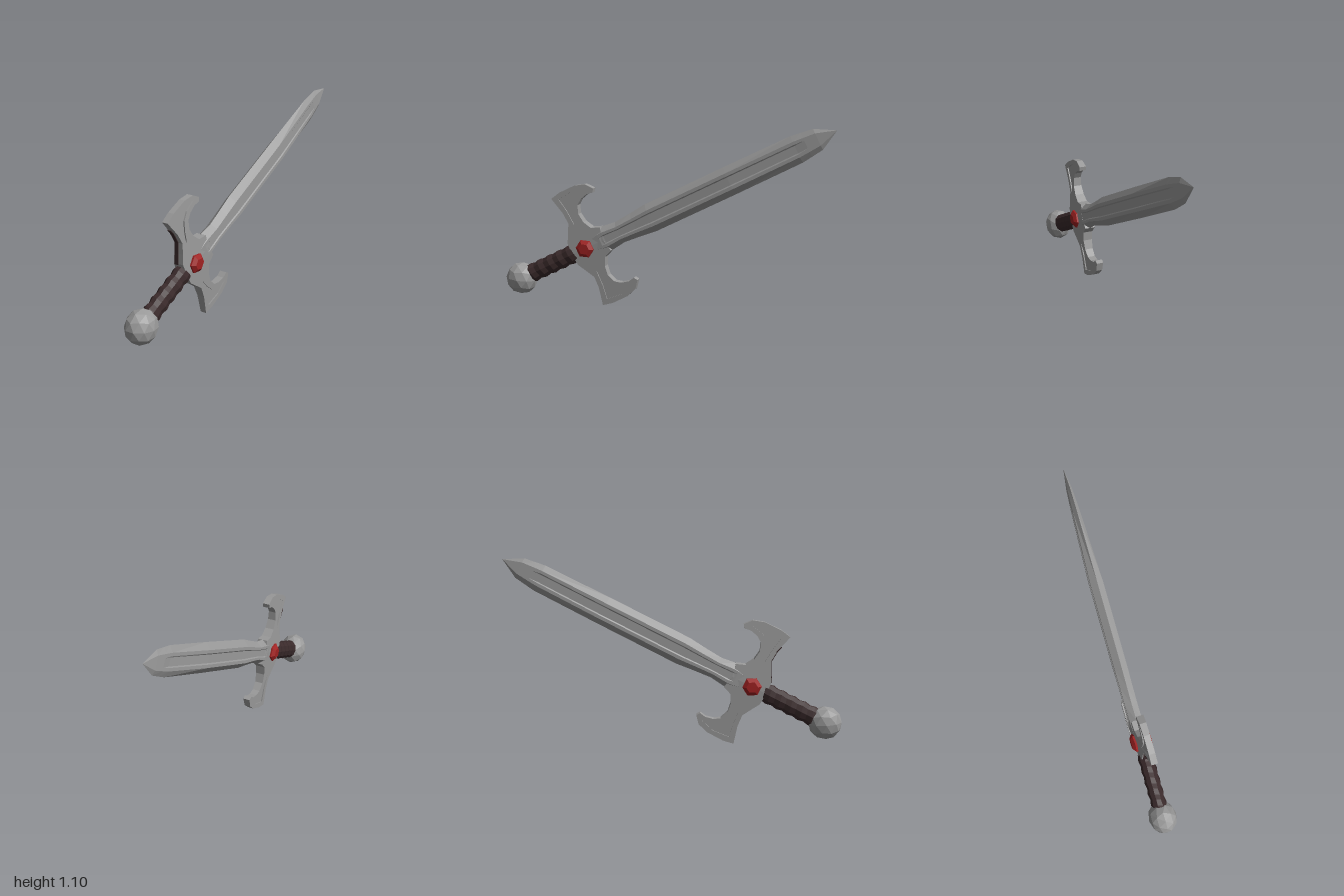
import * as THREE from 'three';

const material = (name, color, extra = {}) => {
  const m = new THREE.MeshStandardMaterial({ color, flatShading: true, ...extra });
  m.name = name;
  return m;
};

const toShape = (pts) => new THREE.Shape(pts.map(([x, y]) => new THREE.Vector2(x, y)));

// Sword space: x runs along the blade, y across it, z is thickness; origin at the gem.

// Blade: rings of a bevelled hexagon with a shallow fuller on both faces
function bladeGeometry() {
  // [position, half width, half thickness, fuller depth]
  const stations = [
    [0.06, 0.06, 0.033, 0], [0.11, 0.076, 0.036, 0], [0.141, 0.079, 0.037, 0.005],
    [0.237, 0.067, 0.037, 0.006], [0.349, 0.076, 0.037, 0.006], [0.455, 0.087, 0.038, 0.006],
    [0.98, 0.086, 0.037, 0.006], [1.4, 0.082, 0.02, 0.004], [1.46, 0.074, 0.017, 0],
    [1.53, 0.064, 0.013, 0], [1.645, 0, 0, 0],
  ];
  // [share of width, side of the blade, in fuller]
  const ring = [[1, 0, 0], [0.58, 1, 0], [0.36, 1, 0], [0.28, 1, 1], [-0.28, 1, 1], [-0.36, 1, 0], [-0.58, 1, 0],
    [-1, 0, 0], [-0.58, -1, 0], [-0.36, -1, 0], [-0.28, -1, 1], [0.28, -1, 1], [0.36, -1, 0], [0.58, -1, 0]];
  const pos = [], index = [], n = ring.length;
  for (const [s, w, h, f] of stations)
    for (const [t, side, groove] of ring) pos.push(s, t * w, side * (h - groove * f));
  for (let i = 0; i < stations.length - 1; i++)
    for (let j = 0; j < n; j++) {
      const a = i * n + j, b = i * n + (j + 1) % n;
      index.push(a, b, a + n, b, b + n, a + n);
    }
  const geo = new THREE.BufferGeometry();
  geo.setAttribute('position', new THREE.Float32BufferAttribute(pos, 3));
  geo.setIndex(index);
  geo.computeVertexNormals();
  return geo;
}

// Extruded guard piece that thins towards the end of its arm
function taperedExtrude(shape, inset) {
  const geo = new THREE.ExtrudeGeometry(shape, { depth: 2, bevelEnabled: false });
  geo.translate(0, 0, -1);
  const p = geo.attributes.position;
  for (let i = 0; i < p.count; i++) p.setZ(i, p.getZ(i) * (0.035 - 0.045 * p.getY(i) - inset));
  geo.computeVertexNormals();
  return geo;
}

export function createModel() {
  const steel = material('steel', 0x9a9a9a);
  const leather = material('dark leather', 0x3a2a2b);
  const red = material('red gem', 0xa02222);

  const model = new THREE.Group();
  model.name = 'sword';
  model.rotation.y = Math.PI / 2;
  const sword = new THREE.Group();
  sword.name = 'tiltedSword';
  sword.rotation.z = 0.466;
  sword.position.set(-0.47, 0.358, 0);
  model.add(sword);
  const add = (name, geo, mat, parent = sword) => {
    const mesh = new THREE.Mesh(geo, mat);
    mesh.name = name;
    parent.add(mesh);
    return mesh;
  };

  add('blade', bladeGeometry(), steel);

  // Guard: one flared arm with a recessed panel, turned over for the other side
  const armOutline = [
    [-0.095, 0], [0.13, 0], [0.145, 0.077], [0.091, 0.098], [0.063, 0.148], [0.055, 0.206], [0.075, 0.256],
    [0.111, 0.28], [0.159, 0.291], [0.197, 0.284], [0.212, 0.305], [0.175, 0.349], [0.108, 0.37], [0, 0.372],
    [-0.064, 0.36], [-0.035, 0.251], [-0.03, 0.18], [-0.06, 0.125], [-0.09, 0.073],
  ];
  const panelOutline = [[0, 0.155], [0.02, 0.22], [0.046, 0.275], [0.09, 0.306], [0.166, 0.32],
    [0.08, 0.345], [-0.022, 0.336], [-0.006, 0.25]];
  for (const [name, turn] of [['upper', 0], ['lower', Math.PI]]) {
    const arm = new THREE.Group();
    arm.name = name + 'GuardArm';
    arm.rotation.x = turn;
    sword.add(arm);
    const shape = toShape(armOutline);
    shape.holes.push(toShape(panelOutline));
    add('guardFrame', taperedExtrude(shape, 0), steel, arm);
    add('guardPanel', taperedExtrude(toShape(panelOutline), 0.007), steel, arm);
  }

  // Leather strip on the grip side of the upper arm
  const edge = [[-0.092, 0.07], [-0.06, 0.125], [-0.03, 0.18], [-0.035, 0.251], [-0.045, 0.285]];
  const strip = toShape([...edge.map(([x, y]) => [x - 0.004, y]), ...edge.map(([x, y]) => [x + 0.003, y]).reverse()]);
  add('guardLeatherStrip', new THREE.ExtrudeGeometry(strip, { depth: 0.024, bevelEnabled: false })
    .translate(0, 0, -0.024), leather);

  // Grip: wrapped leather with uneven ridges
  const profile = [];
  for (let i = 0; i <= 10; i++)
    profile.push(new THREE.Vector2(i % 2 ? 0.061 : 0.053, -0.43 + i * 0.035));
  const grip = new THREE.LatheGeometry(profile, 10);
  const gp = grip.attributes.position;
  for (let i = 0; i < gp.count; i++) {
    const skew = Math.sin(Math.atan2(gp.getZ(i), gp.getX(i)) * 2) * 0.007;
    gp.setY(i, gp.getY(i) + skew);
  }
  grip.rotateZ(-Math.PI / 2).scale(1, 1, 0.8);
  add('grip', grip, leather);

  // Faceted pommel
  const pommel = add('pommel', new THREE.IcosahedronGeometry(0.1, 1), steel);
  pommel.position.x = -0.486;
  pommel.scale.z = 0.86;

  // Hexagonal gem showing on both faces
  const gemProfile = [[0, -0.061], [0.034, -0.061], [0.057, -0.044], [0.057, 0.044], [0.034, 0.061], [0, 0.061]]
    .map(([r, y]) => new THREE.Vector2(r, y));
  const gem = new THREE.LatheGeometry(gemProfile, 6);
  gem.rotateX(Math.PI / 2);
  add('gem', gem, red);

  const root = new THREE.Group();
  root.name = 'swordModel';
  // Move the tilted sword out from the turned group's own origin
  root.add(model);
  return root;
}
